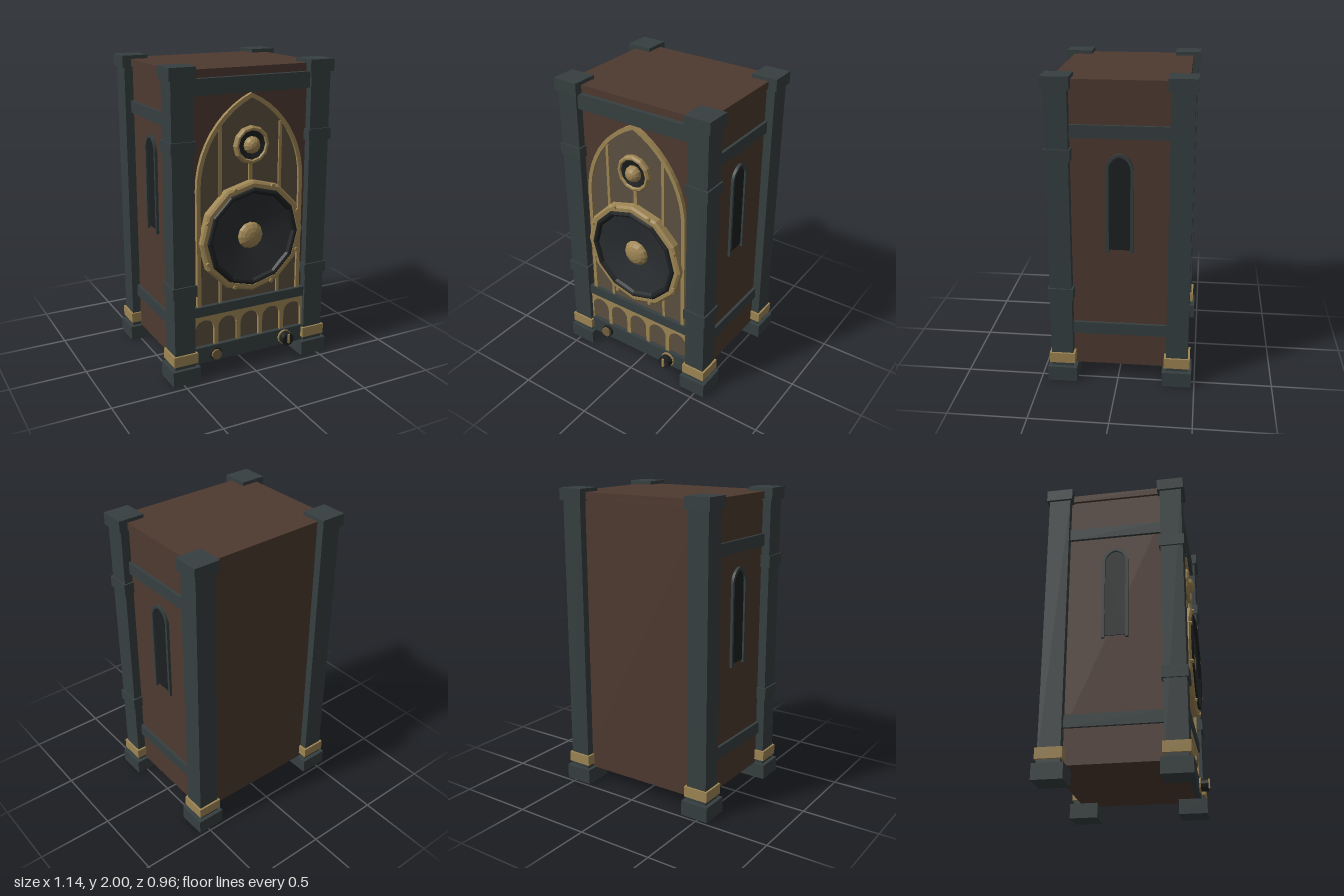
import * as THREE from 'three';

const mat = (color) => new THREE.MeshStandardMaterial({ color, flatShading: true });
const wood = mat(0x4e3a30), iron = mat(0x363f40), gold = mat(0x9f8654);
const black = mat(0x1d2021), coneGrey = mat(0x2b2e31), cloth = mat(0x5b4f40), copper = mat(0x76603f);

export function createModel() {
  const model = new THREE.Group();

  const add = (parent, name, geometry, material) => {
    const mesh = new THREE.Mesh(geometry, material);
    mesh.name = name;
    parent.add(mesh);
    return mesh;
  };
  const group = (name, x = 0, y = 0, z = 0) => {
    const g = new THREE.Group();
    g.name = name;
    g.position.set(x, y, z);
    model.add(g);
    return g;
  };
  // Box given by its limits on each axis
  const box = (parent, name, material, x0, x1, y0, y1, z0, z1) => {
    const geometry = new THREE.BoxGeometry(x1 - x0, y1 - y0, z1 - z0);
    geometry.translate((x0 + x1) / 2, (y0 + y1) / 2, (z0 + z1) / 2);
    return add(parent, name, geometry, material);
  };
  // Turned part facing +z, profile as [radius, z] from the outside inwards
  const turned = (parent, name, material, profile, sides = 12) => {
    const points = profile.map(([r, z]) => new THREE.Vector2(r, z));
    return add(parent, name, new THREE.LatheGeometry(points, sides).rotateX(Math.PI / 2), material);
  };
  // Arch outline, right foot to left foot; c shifts the arc centres to make it pointed
  const arch = (half, base, spring, c, steps = 10) => {
    const r = half + c, end = Math.acos(c / r), right = [new THREE.Vector2(half, base)];
    for (let i = 0; i <= steps; i++) {
      const a = end * i / steps;
      right.push(new THREE.Vector2(r * Math.cos(a) - c, spring + r * Math.sin(a)));
    }
    const left = right.slice(0, -1).reverse().map((p) => new THREE.Vector2(-p.x, p.y));
    return [...right, ...left];
  };
  const slab = (parent, name, material, points, z0, z1) => {
    const geometry = new THREE.ExtrudeGeometry(new THREE.Shape(points), { depth: z1 - z0, bevelEnabled: false });
    return add(parent, name, geometry.translate(0, 0, z0), material);
  };
  const archFrame = (half, width, base, spring, c) =>
    [...arch(half, base, spring, c), ...arch(half - width, base, spring, c).reverse()];

  // Cabinet
  box(model, 'cabinet', wood, -0.488, 0.488, 0.1, 1.95, -0.405, 0.375);
  box(model, 'topBoard', wood, -0.505, 0.505, 1.93, 1.977, -0.42, 0.392);

  // Corner posts with feet, bands and caps
  for (const sx of [-1, 1]) {
    for (const front of [true, false]) {
      const post = group(`${front ? 'front' : 'back'}${sx > 0 ? 'Left' : 'Right'}Post`, sx * 0.475, 0, front ? 0.357 : -0.385);
      const block = (name, m, h, y0, y1) => box(post, name, m, -h, h, y0, y1, -h, h);
      block('foot', iron, 0.095, 0, 0.1);
      block('shaft', iron, 0.07, 0.1, 1.93);
      block('footBand', gold, 0.083, 0.127, 0.196);
      block('cap', iron, 0.086, 1.922, 2);
      if (front) {
        block('lowerBand', iron, 0.081, 0.583, 0.657);
        block('upperBand', iron, 0.081, 1.492, 1.565);
      }
    }
  }

  // Front rails
  for (const [name, y0, y1] of [['bottomRail', 0.1, 0.21], ['middleRail', 0.425, 0.49], ['topRail', 1.825, 1.925]])
    box(model, name, iron, -0.41, 0.41, y0, y1, 0.36, 0.413);

  // Pointed front panel with frame and mullions
  const front = group('archPanel');
  slab(front, 'panelCloth', cloth, arch(0.372, 0.48, 1.25, 0.246, 14), 0.37, 0.385);
  slab(front, 'panelFrame', gold, archFrame(0.375, 0.026, 0.48, 1.25, 0.246), 0.37, 0.402);
  for (const x of [-0.21, 0.21]) box(front, 'mullion', gold, x - 0.01, x + 0.01, 0.49, 1.63, 0.38, 0.396);
  box(front, 'centreMullion', gold, -0.013, 0.013, 1.25, 1.42, 0.38, 0.396);

  // Arcade of round arches
  const arcade = group('arcade');
  box(arcade, 'arcadeBacking', cloth, -0.405, 0.405, 0.2, 0.43, 0.37, 0.383);
  const outline = [new THREE.Vector2(-0.405, 0.205)];
  for (let i = -2; i <= 2; i++)
    for (const p of arch(0.067, 0.205, 0.325, 0, 6).reverse()) outline.push(new THREE.Vector2(p.x + i * 0.163, p.y));
  outline.push(new THREE.Vector2(0.405, 0.205), new THREE.Vector2(0.405, 0.43), new THREE.Vector2(-0.405, 0.43));
  slab(arcade, 'arcadeArches', gold, outline, 0.375, 0.402);

  // Large driver
  const woofer = group('woofer', 0, 0.915, 0);
  turned(woofer, 'wooferRing', gold, [[0.365, 0.38], [0.365, 0.43], [0.35, 0.441], [0.325, 0.441], [0.325, 0.4]]);
  turned(woofer, 'wooferSurround', black, [[0.327, 0.43], [0.318, 0.448], [0.306, 0.453], [0.294, 0.448], [0.283, 0.43]]);
  turned(woofer, 'wooferCone', coneGrey, [[0.285, 0.432], [0.08, 0.395], [0, 0.395]], 24);
  turned(woofer, 'wooferDome', gold, [[0.09, 0.392], [0.08, 0.415], [0.06, 0.43], [0.032, 0.439], [0, 0.442]]);
  for (let i = 0; i < 8; i++) {
    const a = (i + 0.5) * Math.PI / 4;
    turned(woofer, 'wooferBolt', gold, [[0.013, 0.43], [0.013, 0.451], [0, 0.451]], 8)
      .position.set(0.345 * Math.cos(a), 0.345 * Math.sin(a), 0);
  }

  // Small driver
  const tweeter = group('tweeter', 0, 1.5, 0);
  turned(tweeter, 'tweeterRing', gold, [[0.12, 0.38], [0.12, 0.408], [0.11, 0.42], [0.098, 0.42], [0.088, 0.405]]);
  turned(tweeter, 'tweeterPlate', black, [[0.092, 0.41], [0.05, 0.398], [0, 0.398]]);
  turned(tweeter, 'tweeterDome', gold, [[0.055, 0.395], [0.053, 0.415], [0.043, 0.435], [0.025, 0.448], [0, 0.453]]);

  // Input jack and control knob
  const jack = group('jack', -0.26, 0.155, 0);
  turned(jack, 'jackCollar', black, [[0.042, 0.41], [0.042, 0.43], [0, 0.43]]);
  turned(jack, 'jackPlug', copper, [[0.034, 0.42], [0.034, 0.447], [0, 0.447]]);
  const knob = group('knob', 0.26, 0.155, 0);
  turned(knob, 'knobRing', gold, [[0.05, 0.41], [0.05, 0.425], [0, 0.425]]);
  turned(knob, 'knobBody', black, [[0.043, 0.42], [0.043, 0.471], [0, 0.471]]);
  box(knob, 'knobPointer', gold, -0.007, 0.007, -0.022, 0.04, 0.46, 0.482);

  // Side rails and pointed side windows
  for (const sx of [-1, 1]) {
    const side = group(sx > 0 ? 'leftSide' : 'rightSide', 0, 0, -0.013);
    side.rotation.y = sx * Math.PI / 2;
    box(side, 'lowerSideRail', iron, -0.31, 0.31, 0.325, 0.405, 0.47, 0.507);
    box(side, 'upperSideRail', iron, -0.31, 0.31, 1.627, 1.707, 0.47, 0.507);
    slab(side, 'windowPane', black, arch(0.068, 0.915, 1.435, 0.018), 0.48, 0.493);
    slab(side, 'windowFrame', iron, archFrame(0.084, 0.018, 0.897, 1.435, 0.018), 0.48, 0.506);
  }

  return model;
}
